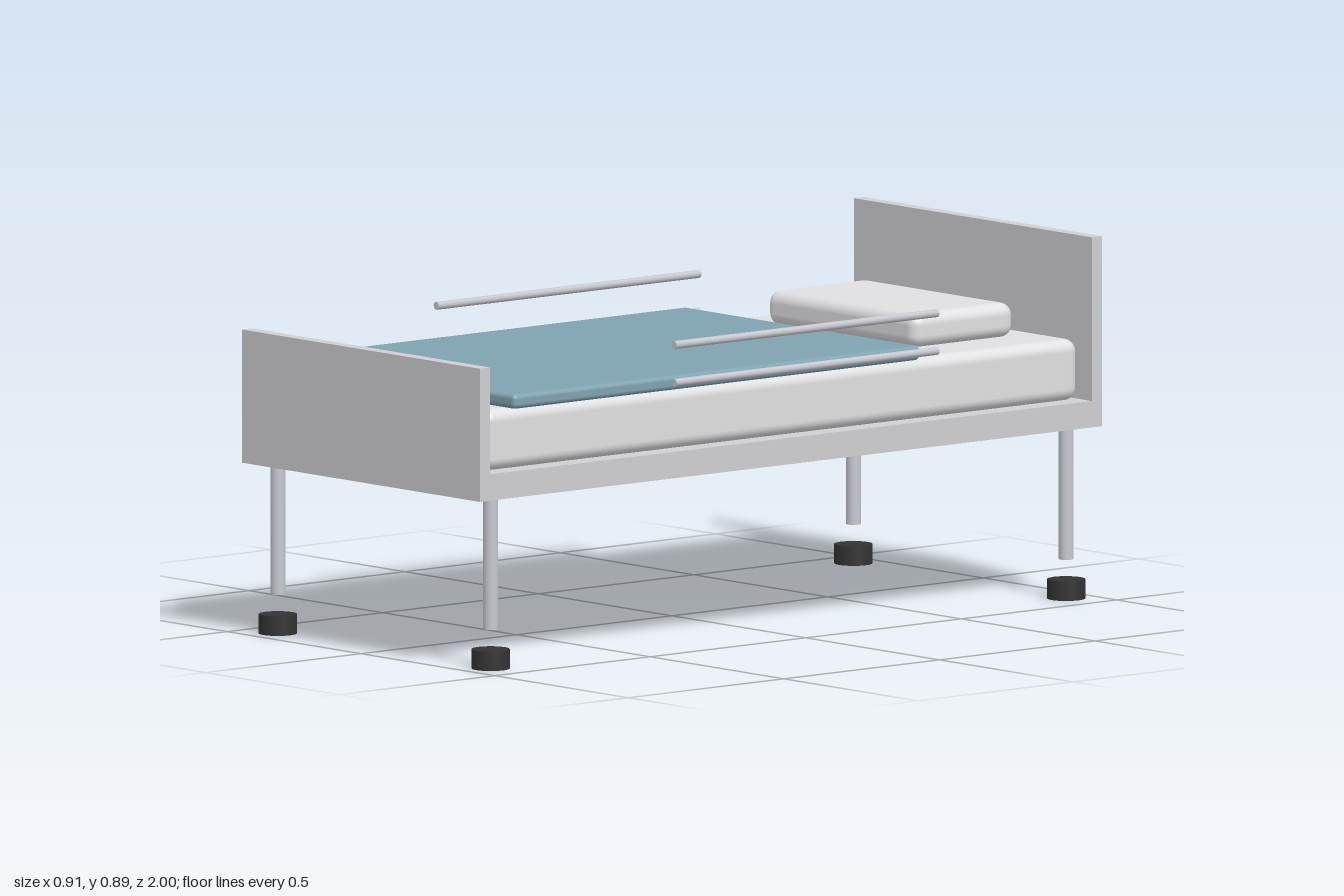
import * as THREE from 'three';
import { RoundedBoxGeometry } from 'three/addons/geometries/RoundedBoxGeometry.js';

const paint = (name, color) => {
  const m = new THREE.MeshStandardMaterial({ color });
  m.name = name;
  return m;
};

export function createModel() {
  const bed = new THREE.Group();
  bed.name = 'hospitalBed';

  const frameGrey = paint('frame grey', 0xd0d0d4);
  const steel = paint('steel', 0xc8c8d0);
  const linen = paint('white linen', 0xe0e0e2);
  const blanketBlue = paint('blanket blue', 0x7fa3b0);
  const rubber = paint('black rubber', 0x333333);

  const add = (name, geometry, material, x, y, z) => {
    const mesh = new THREE.Mesh(geometry, material);
    mesh.name = name;
    mesh.position.set(x, y, z);
    bed.add(mesh);
    return mesh;
  };
  // Box between two heights and two depths, centred on x
  const slab = (name, width, y0, y1, z0, z1, material, radius = 0) => {
    const size = [width, y1 - y0, z1 - z0];
    const geometry = radius
      ? new RoundedBoxGeometry(...size, 4, radius)
      : new THREE.BoxGeometry(...size);
    return add(name, geometry, material, 0, (y0 + y1) / 2, (z0 + z1) / 2);
  };

  // Frame and end boards
  slab('frame', 0.89, 0.422, 0.487, -1, 1, frameGrey);
  slab('headboard', 0.89, 0.422, 0.89, -1, -0.967, frameGrey);
  slab('footboard', 0.89, 0.422, 0.75, 0.967, 1, frameGrey);

  // Bedding
  slab('mattress', 0.83, 0.487, 0.638, -0.955, 0.955, linen, 0.03);
  slab('pillow', 0.56, 0.636, 0.721, -0.865, -0.54, linen, 0.03);
  slab('blanket', 0.882, 0.638, 0.674, -0.422, 0.886, blanketBlue, 0.012);

  // Legs with casters at each corner
  const leg = new THREE.CylinderGeometry(0.0185, 0.0185, 0.325, 16);
  const caster = new THREE.CylinderGeometry(0.047, 0.047, 0.048, 16);
  for (const x of [-0.398, 0.398]) {
    for (const z of [-0.925, 0.925]) {
      add('leg', leg, steel, x, 0.2595, z);
      add('caster', caster, rubber, x, 0.024, z);
    }
  }

  // Two safety rails on each side
  const rail = new THREE.CylinderGeometry(0.01, 0.01, 0.845, 8).rotateX(Math.PI / 2);
  for (const x of [-0.445, 0.445]) {
    for (const y of [0.657, 0.75]) add('sideRail', rail, steel, x, y, -0.047);
  }
  return bed;
}
